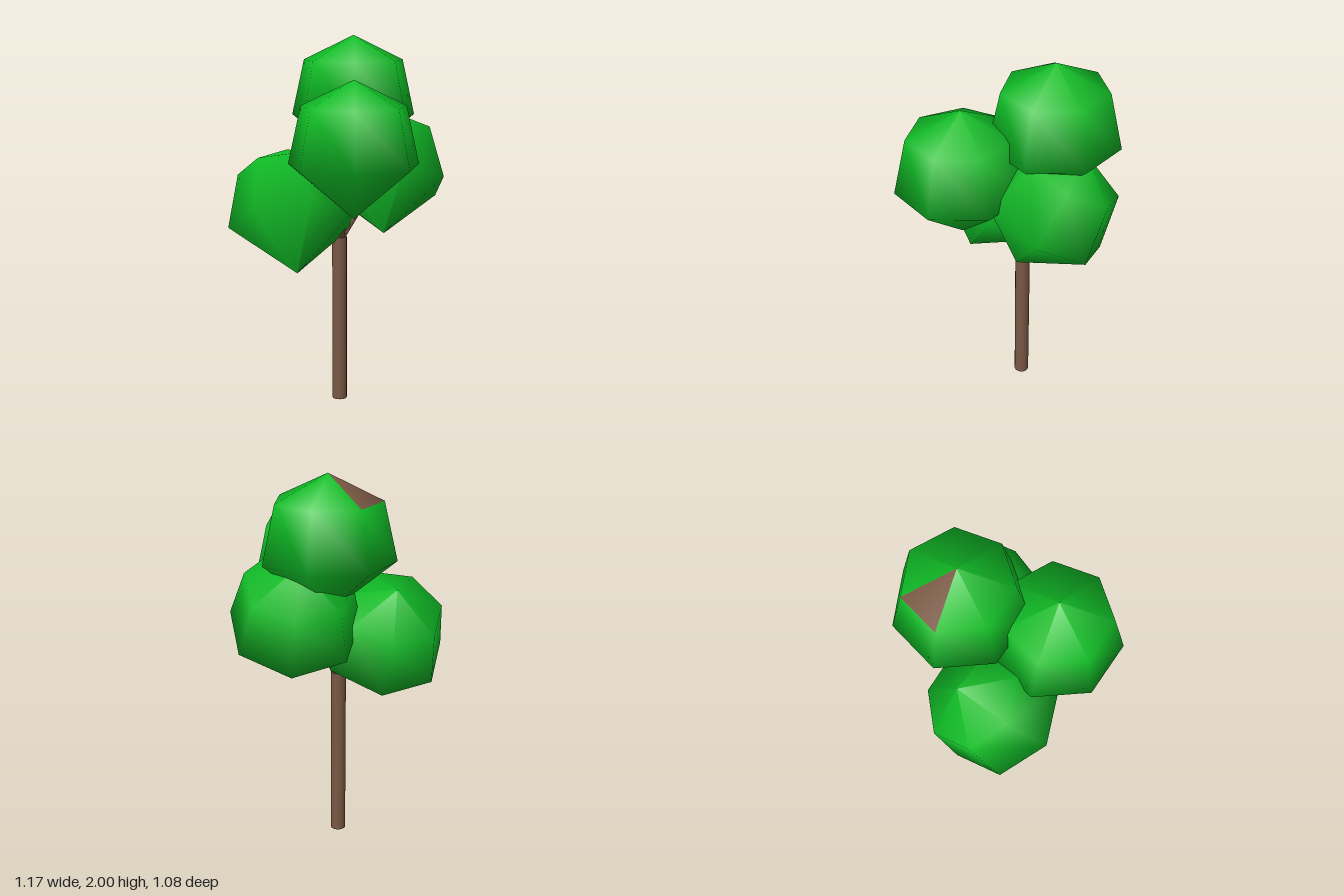
import * as THREE from 'three';

export function createModel() {
  const leaf = new THREE.MeshStandardMaterial({ color: 0x10bb26 });
  leaf.name = 'leaf green';
  const bark = new THREE.MeshStandardMaterial({ color: 0x7a5844 });
  bark.name = 'bark brown';

  const model = new THREE.Group();
  model.name = 'tree';
  const v = (a) => new THREE.Vector3(...a);

  // Seven-sided ball: two rings and a long pointed underside
  const R = 0.354;
  const step = (Math.PI * 2) / 7;
  const profile = [Math.PI, 2 * step, step, 0].map(
    (a) => new THREE.Vector2(Math.abs(R * Math.sin(a)) < 1e-6 ? 0 : R * Math.sin(a), R * Math.cos(a)));
  const ball = new THREE.LatheGeometry(profile, 7, Math.PI);

  // Each clump: centre, direction of its top pole, direction of one ring corner
  const clumps = [
    ['topFoliage', [0.14, 1.646, -0.195], [0, 1, 0], [0, 0, -1]],
    ['frontFoliage', [-0.073, 1.435, 0.23], [0, 1, 0], [0, 0, -1]],
    ['leftFoliage', [0.26, 1.265, -0.08], [0.21, 0.87, -0.44], [0.31, -0.145, 0.03]],
    ['rightFoliage', [-0.25, 1.08, -0.15], [0.14, 0.86, -0.49], [-0.325, -0.08, -0.07]],
  ];
  const fork = new THREE.Vector3(0.01, 0.91, -0.105);

  for (const [name, centre, pole, corner] of clumps) {
    const foliage = new THREE.Mesh(ball, leaf);
    foliage.name = name;
    const y = v(pole).normalize();
    const c = v(corner);
    const z = c.addScaledVector(y, -c.dot(y)).normalize().negate();
    const x = new THREE.Vector3().crossVectors(y, z);
    foliage.quaternion.setFromRotationMatrix(new THREE.Matrix4().makeBasis(x, y, z));
    foliage.position.copy(v(centre));
    model.add(foliage);

    // The top clump has one brown facet beside its pole
    if (name === 'topFoliage') {
      foliage.geometry = ball.clone();
      foliage.geometry.addGroup(0, 12, 0);
      foliage.geometry.addGroup(12, 6, 1);
      foliage.geometry.addGroup(18, 108, 0);
      foliage.material = [leaf, bark];
    }

    // Thin tapering branch from the fork into the clump
    const along = v(centre).sub(fork);
    const branch = new THREE.Mesh(
      new THREE.CylinderGeometry(0.012, 0.025, along.length(), 7), bark);
    branch.name = name.replace('Foliage', 'Branch');
    branch.position.copy(fork).addScaledVector(along, 0.5);
    branch.quaternion.setFromUnitVectors(new THREE.Vector3(0, 1, 0), along.normalize());
    model.add(branch);
  }

  // Trunk with a green underside
  const trunk = new THREE.Mesh(
    new THREE.CylinderGeometry(0.04, 0.04, 0.92, 16), [bark, bark, leaf]);
  trunk.name = 'trunk';
  trunk.position.set(0.01, 0.46, -0.105);
  model.add(trunk);

  return model;
}
